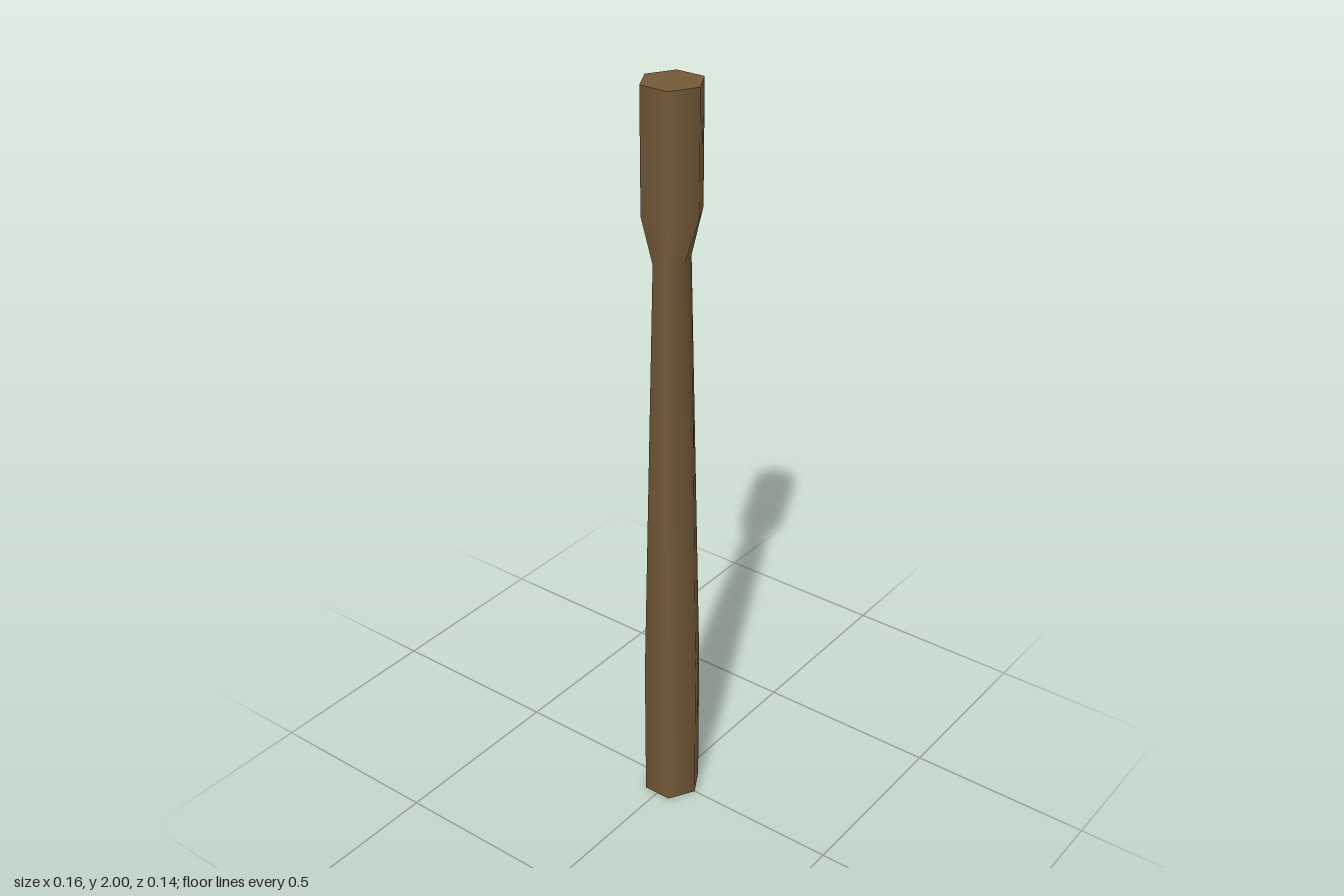
import * as THREE from 'three';

// Rings from bottom to top: height, half-width in x, half-depth in z
const RINGS = [
  [0, 0.078, 0.0685],
  [0.4, 0.078, 0.0685],
  [1.57, 0.037, 0.051],
  [1.69, 0.078, 0.0685],
  [2, 0.078, 0.0685],
];

// Capped hexagonal prism whose rings are moved to the given heights and sizes
function shapedPost(rings) {
  const n = rings.length - 1;
  const geo = new THREE.CylinderGeometry(1, 1, n, 6, n, false, Math.PI / 2);
  geo.translate(0, n / 2, 0);
  const pos = geo.attributes.position;
  const hexDepth = Math.sin(Math.PI / 3);
  for (let i = 0; i < pos.count; i++) {
    const [y, w, d] = rings[Math.round(pos.getY(i))];
    pos.setXYZ(i, pos.getX(i) * w, y, pos.getZ(i) * d / hexDepth);
  }
  return geo;
}

export function createModel() {
  const group = new THREE.Group();
  group.name = 'woodenPost';

  // Six-sided post with a tapered shaft, narrow neck and full-width head
  const wood = new THREE.MeshStandardMaterial({ color: 0x745a38 });
  const post = new THREE.Mesh(shapedPost(RINGS), wood);
  post.name = 'post';
  group.add(post);
  return group;
}
